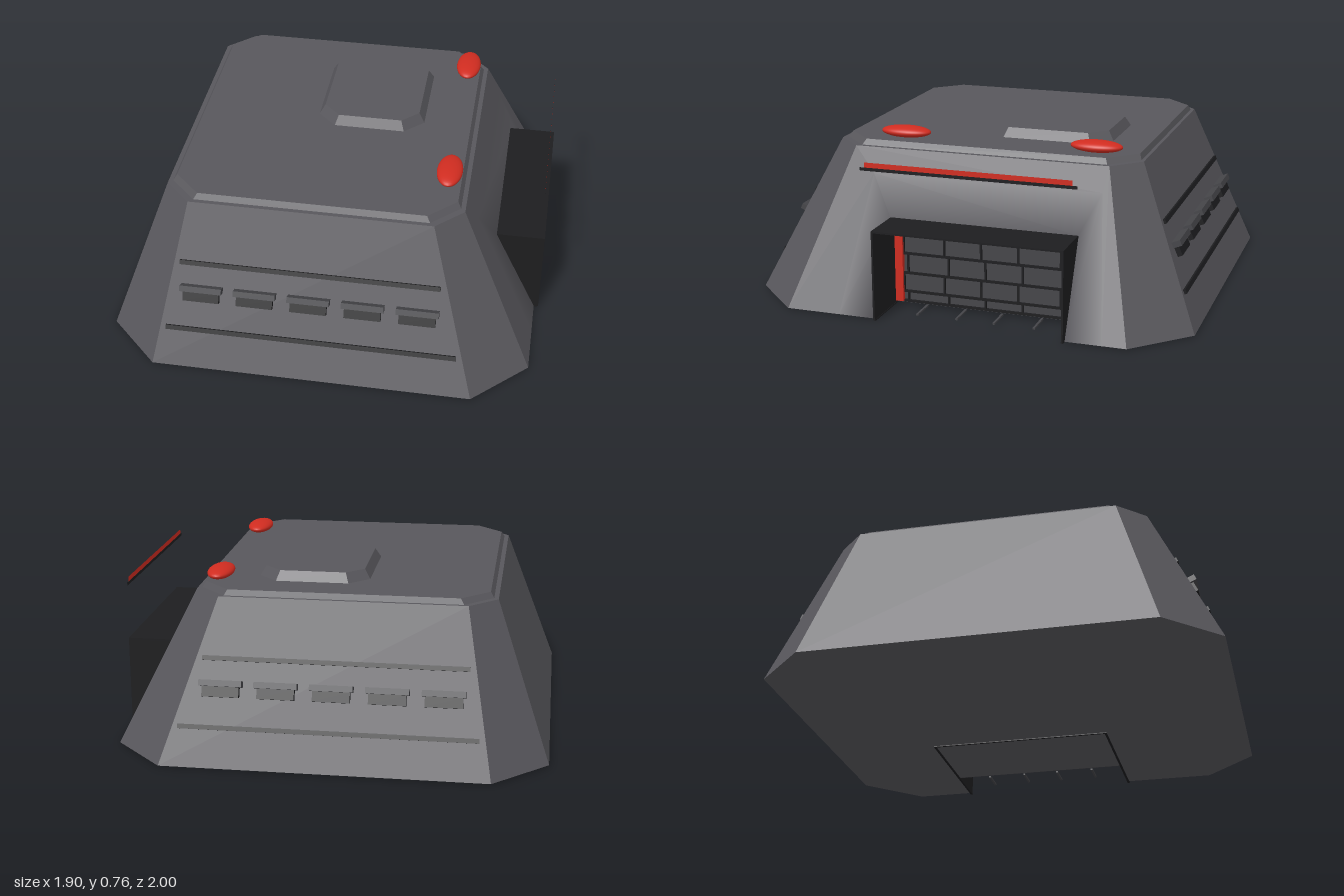
import * as THREE from 'three';

const mat = (name, color, side = THREE.FrontSide) => {
  const m = new THREE.MeshStandardMaterial({ color, side });
  m.name = name;
  return m;
};

// Chamfered rectangle at height y, running from +x towards +z
const ring = (y, x0, x1, z0, z1, c) => [
  [x1, y, z1 - c], [x1 - c, y, z1], [x0 + c, y, z1], [x0, y, z1 - c],
  [x0, y, z0 + c], [x0 + c, y, z0], [x1 - c, y, z0], [x1, y, z0 + c],
];

// Flat-faced loft through rings with a top cap; skip leaves out one side
function loft(rings, skip = -1) {
  const p = [];
  for (let r = 0; r + 1 < rings.length; r++) {
    const a = rings[r], b = rings[r + 1];
    for (let i = 0; i < 8; i++) {
      if (i === skip) continue;
      const j = (i + 1) % 8;
      p.push(a[j], a[i], b[i], a[j], b[i], b[j]);
    }
  }
  const t = rings[rings.length - 1];
  for (let i = 1; i < 7; i++) p.push(t[0], t[i + 1], t[i]);
  const g = new THREE.BufferGeometry();
  g.setAttribute('position', new THREE.Float32BufferAttribute(p.flat(), 3));
  g.computeVertexNormals();
  return g;
}

// Strips between four-point arches, smooth across shared points
function archStrips(arches) {
  const g = new THREE.BufferGeometry(), index = [];
  for (let k = 0; k + 1 < arches.length; k++) {
    for (let i = 0; i < 3; i++) {
      const a = k * 4 + i, b = a + 4;
      index.push(a, b, b + 1, a, b + 1, a + 1);
    }
  }
  g.setAttribute('position', new THREE.Float32BufferAttribute(arches.flat(2), 3));
  g.setIndex(index);
  g.computeVertexNormals();
  return g;
}

export function createModel() {
  const model = new THREE.Group();
  model.name = 'bunker';
  const armour = mat('armour grey', 0x58575c);
  const dark = mat('trim black', 0x1d1d1f, THREE.DoubleSide);
  const steel = mat('door grey', 0x454549);
  const red = mat('signal red', 0xd02c20, THREE.DoubleSide);

  const add = (name, geo, material, x = 0, y = 0, z = 0, parent = model) => {
    const m = new THREE.Mesh(geo, material);
    m.name = name;
    m.position.set(x, y, z);
    parent.add(m);
    return m;
  };
  const box = (name, w, h, d, material, x, y, z, parent) =>
    add(name, new THREE.BoxGeometry(w, h, d), material, x, y, z, parent);

  // Sloping hull, roof plate and hatch
  const H = 0.675;
  add('hull', loft([ring(0, -0.95, 0.93, -1, 1, 0.235), ring(H, -0.71, 0.6, -0.715, 0.685, 0.12)], 7), armour);
  add('roofPlate', loft([ring(H, -0.69, 0.58, -0.7, 0.665, 0.12), ring(0.7, -0.675, 0.565, -0.69, 0.65, 0.12)]), armour);
  add('roofHatch', loft([ring(0.7, -0.14, 0.35, -0.525, 0.045, 0.085), ring(0.742, -0.115, 0.325, -0.5, 0.02, 0.075)]), armour);

  // Entrance wall: flat border, then a softly shaded area turning into the doorway
  const wall = (y, z) => [0.93 - 0.33 * y / H, y, z];
  const arch = (y, b0, t0, t1, b1) => [wall(0, b0), wall(y, t0), wall(y, t1), wall(0, b1)];
  const outer = arch(H, 0.765, 0.565, -0.595, -0.765);
  const middle = arch(0.57, 0.52, 0.46, -0.58, -0.66);
  const inner = arch(0.4, 0.352, 0.352, -0.502, -0.502);
  const back = inner.map(([, y, z]) => [0.69, y, z]);
  add('entranceWall', archStrips([outer, middle]), armour);
  add('doorwaySurround', archStrips([middle, inner, back]), armour);

  // Underside, notched for the doorway
  const base = ring(0, -0.95, 0.93, -1, 1, 0.235).map(([x, , z]) => [x, z]);
  base.push([0.93, -0.5], [0.69, -0.5], [0.69, 0.35], [0.93, 0.35]);
  const floor = new THREE.ShapeGeometry(new THREE.Shape(base.map(([x, z]) => new THREE.Vector2(x, z))));
  floor.rotateX(Math.PI / 2);
  add('underside', floor, armour);
  for (const z of [0.345, -0.495]) box('floorFrameSide', 0.72, 0.006, 0.01, dark, 0.585, 0.003 - 0.004, z);
  box('floorFrameBack', 0.01, 0.006, 0.85, dark, 0.23, -0.001, -0.075);

  // Projecting porch, open in front and below
  for (const z of [0.346, -0.496]) box('porchSide', 0.25, 0.4, 0.008, dark, 0.825, 0.2, z);
  box('porchRoof', 0.25, 0.008, 0.85, dark, 0.825, 0.396, -0.075);

  // Door with staggered seams, red side bars and threshold treads
  const door = new THREE.Group();
  door.name = 'door';
  model.add(door);
  box('doorPanel', 0.016, 0.39, 0.84, steel, 0.7, 0.2, -0.075, door);
  const rows = [0.015, 0.06, 0.145, 0.235, 0.32, 0.385];
  for (const y of rows) box('doorSeam', 0.012, 0.01, 0.75, dark, 0.712, y, -0.075, door);
  for (let r = 0; r + 1 < rows.length; r++) {
    for (const z of [0.29, 0.1, -0.07, -0.24, -0.43]) {
      box('doorRib', 0.012, rows[r + 1] - rows[r], 0.008, dark, 0.712,
        (rows[r] + rows[r + 1]) / 2, z + (r % 2 ? 0.01 : -0.01), door);
    }
  }
  for (const z of [0.318, -0.458]) box('doorBar', 0.02, 0.37, 0.036, red, 0.72, 0.2, z, door);
  for (const z of [0.19, 0.01, -0.16, -0.34]) box('threshold', 0.12, 0.008, 0.01, steel, 0.78, 0.004, z, door);

  // Thin light strip hanging above the porch
  const plate = (name, h, d, material, y, z) => {
    add(name, new THREE.PlaneGeometry(d, h).rotateY(Math.PI / 2), material, 0.93, y, z);
  };
  plate('lightStripBacking', 0.014, 0.95, dark, 0.665, -0.075);
  plate('lightStrip', 0.022, 0.91, red, 0.683, -0.075);

  // Flattened roof beacons
  for (const z of [0.36, -0.515]) {
    add('beacon', new THREE.SphereGeometry(1, 32, 20), red, 0.51, 0.735, z).scale.set(0.057, 0.026, 0.115);
  }

  // Rails and hooded vents on both long walls
  for (const s of [1, -1]) {
    const run = s > 0 ? 0.315 : 0.285;
    const side = new THREE.Group();
    side.name = s > 0 ? 'frontFittings' : 'backFittings';
    model.add(side);
    const onWall = (name, w, h, d, material, x, y, lift) => {
      const z = s * (1 - run * y / H + lift);
      box(name, w, h, d, material, x, y, z, side).rotation.x = -s * Math.atan(run / H);
    };
    onWall('upperRail', 1.14, 0.02, 0.016, dark, -0.04, 0.432, 0.003);
    onWall('lowerRail', 1.28, 0.02, 0.016, dark, -0.02, 0.16, 0.003);
    for (let i = 0; i < 5; i++) {
      const x = -0.507 + i * 0.237;
      onWall('ventHood', 0.185, 0.026, 0.06, steel, x, 0.335, 0.01);
      onWall('ventSlot', 0.16, 0.045, 0.03, dark, x, 0.302, 0.008);
    }
  }
  return model;
}
